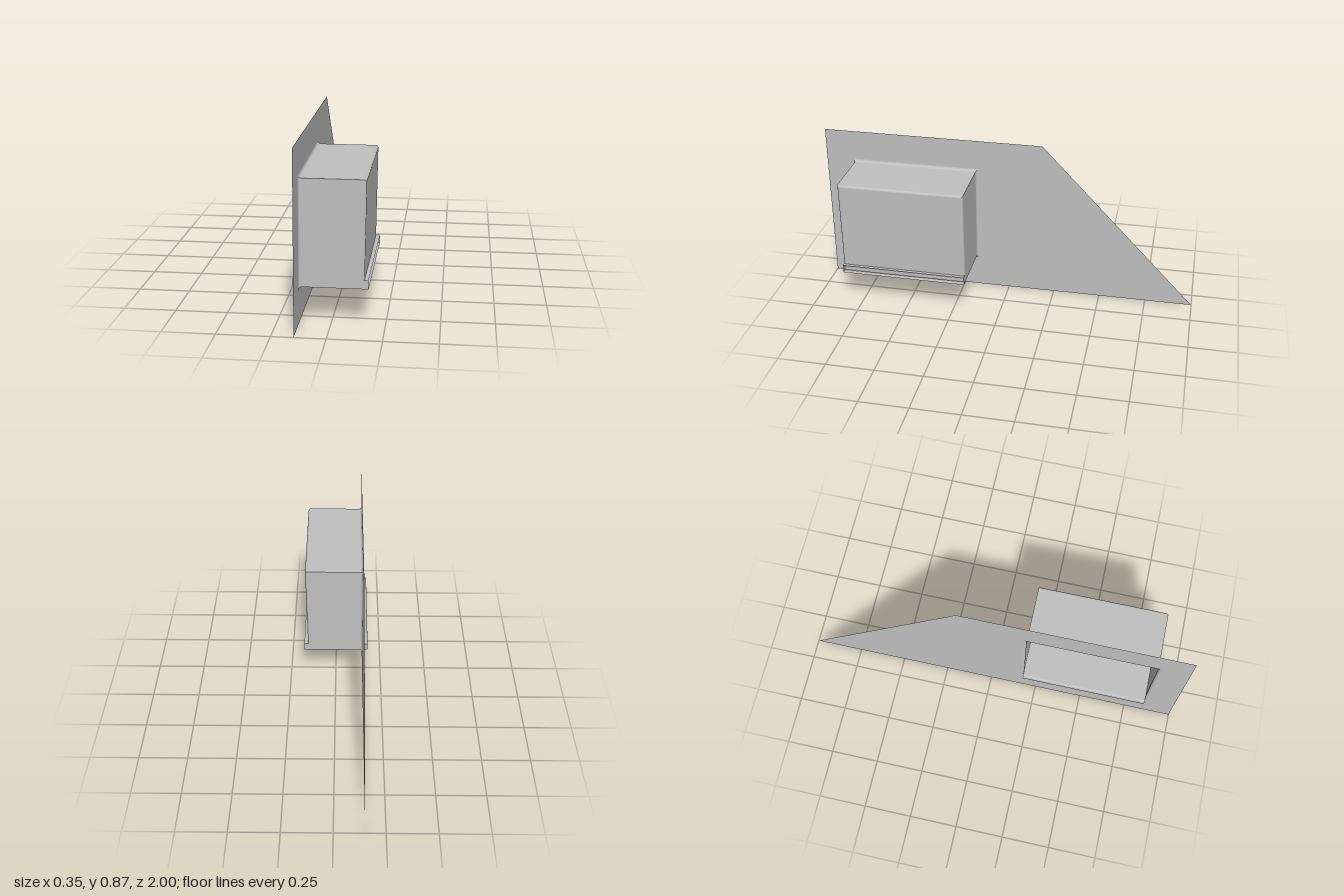
import * as THREE from 'three';

const HEIGHT = 0.866;
const BOX = { z0: 0.18, z1: 0.842, y0: 0.18, y1: 0.692, depth: 0.305 };
const FILLET = 0.014;
const ROUND = 0.012;

// x of the slightly leaning wall sheet
const wallX = (y, z) => -0.1485 + 0.0025 * z + 0.007 * y;

// Ribbon of quads between two point lists of equal length
function strip(a, b) {
  const pos = [], index = [];
  a.forEach((p, j) => {
    pos.push(...p, ...b[j]);
    if (j) {
      const k = 2 * j - 2;
      index.push(k, k + 1, k + 3, k, k + 3, k + 2);
    }
  });
  const g = new THREE.BufferGeometry();
  g.setAttribute('position', new THREE.Float32BufferAttribute(pos, 3));
  g.setIndex(index);
  g.computeVertexNormals();
  return g;
}

// Corners of the box opening, pushed outwards by o
const corners = (o) => [
  [BOX.z1 + o, BOX.y0 - o], [BOX.z0 - o, BOX.y0 - o],
  [BOX.z0 - o, BOX.y1 + o], [BOX.z1 + o, BOX.y1 + o],
];

// Point on the box shell: corner i, distance d out of the wall, outset o
function shellPoint(i, d, o) {
  const [z, y] = corners(o)[i % 4];
  const lean = 0.012 * (y - 0.68) * d / BOX.depth;
  return [wallX(y, z) + d + lean, y, z];
}

export function createModel() {
  const model = new THREE.Group();
  const grey = new THREE.MeshStandardMaterial({ color: 0xc0c0c0, side: THREE.DoubleSide });
  grey.name = 'light grey';
  const add = (parent, name, geometry) => {
    const mesh = new THREE.Mesh(geometry, grey);
    mesh.name = name;
    parent.add(mesh);
    return mesh;
  };

  // Wall sheet with a sloping end and a rectangular opening
  const outline = new THREE.Shape([[-1, 0], [1, 0], [0.172, HEIGHT], [-1, HEIGHT]]
    .map(([u, v]) => new THREE.Vector2(u, v)));
  outline.holes.push(new THREE.Path(corners(FILLET).reverse()
    .map(([z, y]) => new THREE.Vector2(-z, y))));
  const wall = new THREE.ShapeGeometry(outline).rotateY(Math.PI / 2);
  const p = wall.attributes.position;
  for (let i = 0; i < p.count; i++) p.setX(i, wallX(p.getY(i), p.getZ(i)));
  wall.computeVertexNormals();
  add(model, 'wall', wall);

  // Box shell: fillet at the wall, straight sides, rounded outer edge
  const shell = new THREE.Group();
  shell.name = 'boxShell';
  model.add(shell);
  const profile = [];
  for (let k = 0; k <= 5; k++) {
    const a = k / 5 * Math.PI / 2;
    profile.push([FILLET * (1 - Math.cos(a)), FILLET * (1 - Math.sin(a))]);
  }
  for (let k = 0; k <= 5; k++) {
    const a = k / 5 * Math.PI / 2;
    profile.push([BOX.depth - ROUND * (1 - Math.sin(a)), -ROUND * (1 - Math.cos(a))]);
  }
  ['bottom', 'back', 'top', 'front'].forEach((side, i) => {
    const edge = (c) => profile.map(([d, o]) => shellPoint(c, d, o));
    add(shell, side + 'Side', strip(edge(i), edge(i + 1)));
  });
  const c = [0, 1, 2, 3].map((i) => shellPoint(i, BOX.depth, -ROUND));
  add(shell, 'outerFace', strip([c[0], c[3]], [c[1], c[2]]));

  // Sill: hollow ledge, rounded towards the inside and open on the outside
  const sill = new THREE.Group();
  sill.name = 'sill';
  model.add(sill);
  const r = 0.012, x0 = -0.175, x1 = 0.173, y0 = 0.18, y1 = 0.222;
  const section = [[x1, y1]];
  for (const [cy, start] of [[y1 - r, Math.PI / 2], [y0 + r, Math.PI]]) {
    for (let k = 0; k <= 4; k++) {
      const a = start + k / 4 * Math.PI / 2;
      section.push([x0 + r + r * Math.cos(a), cy + r * Math.sin(a)]);
    }
  }
  section.push([x1, y0]);
  const at = (z) => section.map(([x, y]) => [x, y, z]);
  add(sill, 'sillSheet', strip(at(BOX.z1), at(BOX.z0)));
  const endShape = new THREE.Shape(section.map(([x, y]) => new THREE.Vector2(x, y)));
  for (const [name, z] of [['sillFrontEnd', BOX.z1], ['sillBackEnd', BOX.z0]]) {
    add(sill, name, new THREE.ShapeGeometry(endShape)).position.z = z;
  }

  return model;
}
